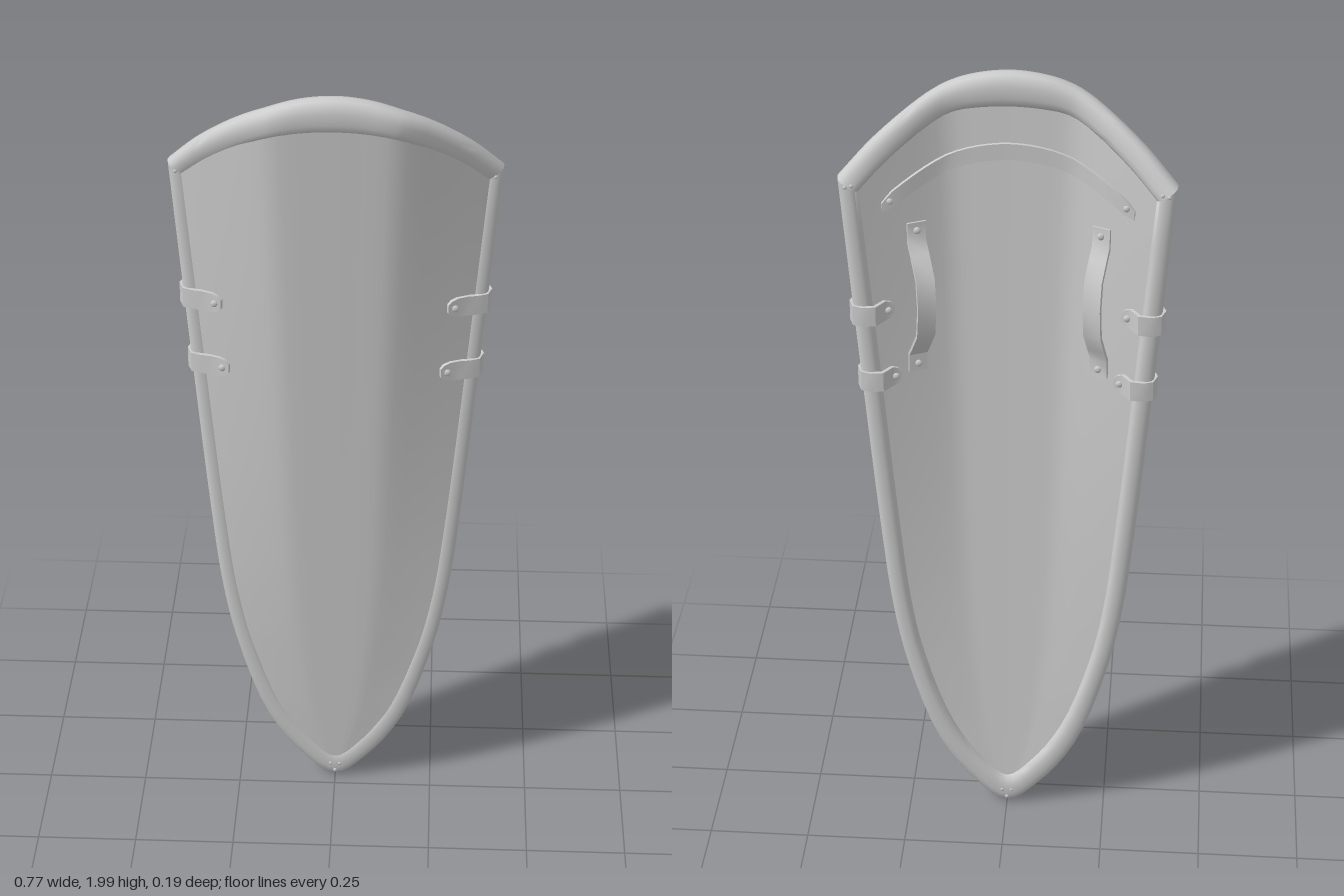
import * as THREE from 'three';
import { toCreasedNormals } from 'three/addons/utils/BufferGeometryUtils.js';

const V = (x, y, z = 0) => new THREE.Vector3(x, y, z);
const EDGE_Z = -0.055;
const FRONT = 0.024, BACK = -0.016; // board faces relative to its middle

// Half outline from tip to top corner: outer x, outer y, inner x, inner y
const SIDE = [
  [0, 0.006, 0, 0.09], [0.08, 0.065, 0.06, 0.14], [0.174, 0.2, 0.135, 0.255],
  [0.253, 0.44, 0.205, 0.46], [0.287, 0.62, 0.237, 0.62], [0.311, 0.85, 0.262, 0.85],
  [0.348, 1.3, 0.3, 1.3], [0.386, 1.785, 0.338, 1.752],
];
// Half of the top arc from centre to corner
const TOP = [
  [0, 2, 0, 1.915], [0.08, 1.991, 0.075, 1.911], [0.145, 1.97, 0.135, 1.9],
  [0.21, 1.936, 0.19, 1.874], [0.31, 1.861, 0.275, 1.812], [0.386, 1.785, 0.338, 1.752],
];

// Linear lookup in a list of [key, value]
function lookup(table, k) {
  for (let i = 1; i < table.length; i++) {
    const [a, va] = table[i - 1], [b, vb] = table[i];
    if (k <= b) return va + (vb - va) * Math.max(0, (k - a) / (b - a));
  }
  return table[table.length - 1][1];
}
const halfWidth = (y) => lookup(SIDE.map((p) => [(p[1] + p[3]) / 2, (p[0] + p[2]) / 2]), y);
const topEdge = (u) => lookup(TOP.map((p) => [(p[0] + p[2]) / 0.724, (p[1] + p[3]) / 2]), Math.abs(u));

// Curvature of the board: flat middle, sloping flanks, deepest at the top
const BULGE = [[0, 1], [0.3, 0.985], [0.4, 0.95], [0.5, 0.82], [1, 0]];
const boardZ = (u, v) => EDGE_Z + 0.12 * v * lookup(BULGE, Math.abs(u));
const boardZAt = (x, y) => {
  const u = x / halfWidth(y);
  return boardZ(u, (y - 0.05) / (topEdge(u) - 0.05));
};

// Closed solid through a row of equal loops, with end caps
function loft(rings, crease) {
  const n = rings[0].length, index = [], pts = rings.flat();
  for (let i = 0; i < rings.length - 1; i++) {
    for (let j = 0; j < n; j++) {
      const a = i * n + j, b = i * n + (j + 1) % n;
      index.push(a, b, a + n, b, b + n, a + n);
    }
  }
  // Caps are zipped between the two halves of the loop
  const last = (rings.length - 1) * n;
  for (let j = 0; j < n / 2 - 1; j++) {
    const a = j, b = j + 1, c = n - 2 - j, d = n - 1 - j;
    index.push(a, c, b, a, d, c);
    index.push(last + a, last + b, last + c, last + a, last + c, last + d);
  }
  // Turn the faces outward
  let volume = 0;
  const cross = V(0, 0);
  for (let i = 0; i < index.length; i += 3) {
    cross.crossVectors(pts[index[i + 1]], pts[index[i + 2]]);
    volume += pts[index[i]].dot(cross);
  }
  if (volume < 0) index.reverse();
  const geo = new THREE.BufferGeometry().setFromPoints(pts);
  geo.setIndex(index);
  return toCreasedNormals(geo, crease);
}

// Flat band along a path; widths may vary
function ribbon(points, across, widths, thick) {
  const rings = points.map((p, i) => {
    const t = points[Math.min(i + 1, points.length - 1)].clone().sub(points[Math.max(i - 1, 0)]);
    const n = t.cross(across).normalize().multiplyScalar(thick / 2);
    const w = across.clone().multiplyScalar((widths[i] ?? widths[0]) / 2);
    return [[1, 1], [-1, 1], [-1, -1], [1, -1]].map(([a, b]) =>
      p.clone().addScaledVector(w, a).addScaledVector(n, b));
  });
  return loft(rings, 0.7);
}

// Rounded rim spanning the gap between outer and inner outline
function rim(half, depth, zAt, steps) {
  const full = [...half.slice(1).reverse().map((p) => [-p[0], p[1], -p[2], p[3]]), ...half];
  const outer = new THREE.CatmullRomCurve3(full.map((p) => V(p[0], p[1])));
  const inner = new THREE.CatmullRomCurve3(full.map((p) => V(p[2], p[3])));
  const rings = [];
  for (let i = 0; i <= steps; i++) {
    const o = outer.getPoint(i / steps), q = inner.getPoint(i / steps);
    o.z = q.z = zAt(o.x);
    const mid = o.clone().add(q).multiplyScalar(0.5), reach = o.sub(q).multiplyScalar(0.5);
    const ring = [];
    for (let k = 0; k < 14; k++) {
      const a = (k / 14) * Math.PI * 2, c = Math.cos(a), s = Math.sin(a);
      const p = mid.clone().addScaledVector(reach, Math.sign(c) * Math.abs(c) ** 0.75);
      p.z += depth * Math.sign(s) * Math.abs(s) ** 0.75;
      ring.push(p);
    }
    rings.push(ring);
  }
  return loft(rings, 1);
}

// Curved board, lofted from bottom to top
function board() {
  const rings = [], cols = 30, rows = 40;
  for (let i = 0; i <= rows; i++) {
    const v = i / rows, w = Math.max(0.004, halfWidth(0.05 + v * 1.7185));
    const row = (dz) => Array.from({ length: cols + 1 }, (_, j) => {
      const u = (j / cols) * 2 - 1;
      return V(u * w, 0.05 + v * (topEdge(u) - 0.05), boardZ(u, v) + dz);
    });
    rings.push([...row(FRONT), ...row(BACK).reverse()]);
  }
  return loft(rings, 0.9);
}

export function createModel() {
  const group = new THREE.Group();
  group.name = 'shield';
  const grey = new THREE.MeshStandardMaterial({ color: 0xcccccc });
  grey.name = 'plain grey';
  const add = (name, geo, parent = group) => {
    const mesh = new THREE.Mesh(geo, grey);
    mesh.name = name;
    parent.add(mesh);
    return mesh;
  };
  const rivet = (name, p, r, parent = group) => {
    const m = add(name, new THREE.SphereGeometry(r, 10, 6), parent);
    m.position.copy(p);
    m.scale.z = 0.6;
  };

  add('board', board());
  add('sideRim', rim(SIDE, 0.029, () => EDGE_Z, 56));
  add('topRim', rim(TOP, 0.029, (x) => boardZ(x / 0.386, 1), 40));

  // Clips folded round the side rim
  for (const side of [-1, 1]) {
    for (const y of [1.44, 1.265]) {
      const clip = new THREE.Group();
      clip.name = 'rimClip';
      group.add(clip);
      const cx = halfWidth(y);
      const front = (dx) => boardZAt(cx + dx, y) + FRONT + 0.004;
      const back = (dx) => boardZAt(cx + dx, y) + BACK - 0.004;
      const path = [
        [-0.07, front(-0.07)], [-0.062, front(-0.062)], [-0.048, front(-0.048)],
        [-0.025, front(-0.025)], [0, -0.021], [0.02, -0.029], [0.029, -0.055],
        [0.02, -0.081], [0, -0.088], [-0.028, -0.084], [-0.048, back(-0.048)],
        [-0.062, back(-0.062)], [-0.07, back(-0.07)],
      ].map(([dx, z]) => V(side * (cx + dx), y, z));
      const widths = path.map((_, i) => [0.022, 0.04, 0.05][Math.min(i, path.length - 1 - i, 2)]);
      add('clipBand', ribbon(path, V(0, 1, 0), widths, 0.009), clip);
      rivet('clipRivet', V(side * (cx - 0.053), y, front(-0.053) + 0.005), 0.009, clip);
      rivet('clipRivet', V(side * (cx - 0.057), y, back(-0.057) - 0.005), 0.009, clip);
    }
  }

  // Arm straps on the back, the left one standing further out
  for (const [side, reach] of [[1, 0.068], [-1, 0.042]]) {
    const across = V(0.905, 0, -0.425 * side), out = V(-0.425 * side, 0, -0.905);
    const path = [[1.65, 0], [1.605, 0], [1.575, 0.35], [1.53, 0.85], [1.46, 1],
      [1.39, 0.85], [1.345, 0.35], [1.315, 0], [1.27, 0]]
      .map(([y, k]) => V(side * 0.222, y, boardZAt(0.222, y)).addScaledVector(out, 0.018 + k * reach));
    add('armStrap', ribbon(path, across, [0.045], 0.008));
    for (const y of [1.63, 1.29]) {
      rivet('strapRivet', V(side * 0.222, y, boardZAt(0.222, y)).addScaledVector(out, 0.023), 0.009);
    }
  }

  // Arched strip under the top rim, on the back
  const arch = [];
  for (let i = 0; i <= 24; i++) {
    const k = (i / 24) * 2 - 1, x = k * 0.29, y = 1.82 - 0.12 * k * k;
    arch.push(V(x, y, boardZAt(x, y) + BACK - 0.003 - 0.013 * (1 - k ** 8)));
  }
  add('archedStrip', ribbon(arch, V(0, 1, 0), arch.map((_, i) => (i % 24 ? 0.04 : 0.022)), 0.008));
  for (const x of [-0.27, 0.27]) rivet('stripRivet', V(x, 1.716, boardZAt(x, 1.716) - 0.03), 0.008);

  // Small nails at the tip and the top corners, front and back
  for (const z of [-0.027, -0.083]) {
    for (const [x, y] of [[-0.012, 0.05], [0.012, 0.05], [0, 0.028],
      [-0.367, 1.768], [0.367, 1.768], [-0.352, 1.772], [0.352, 1.772]]) {
      rivet('nail', V(x, y, z), 0.005);
    }
  }
  return group;
}
